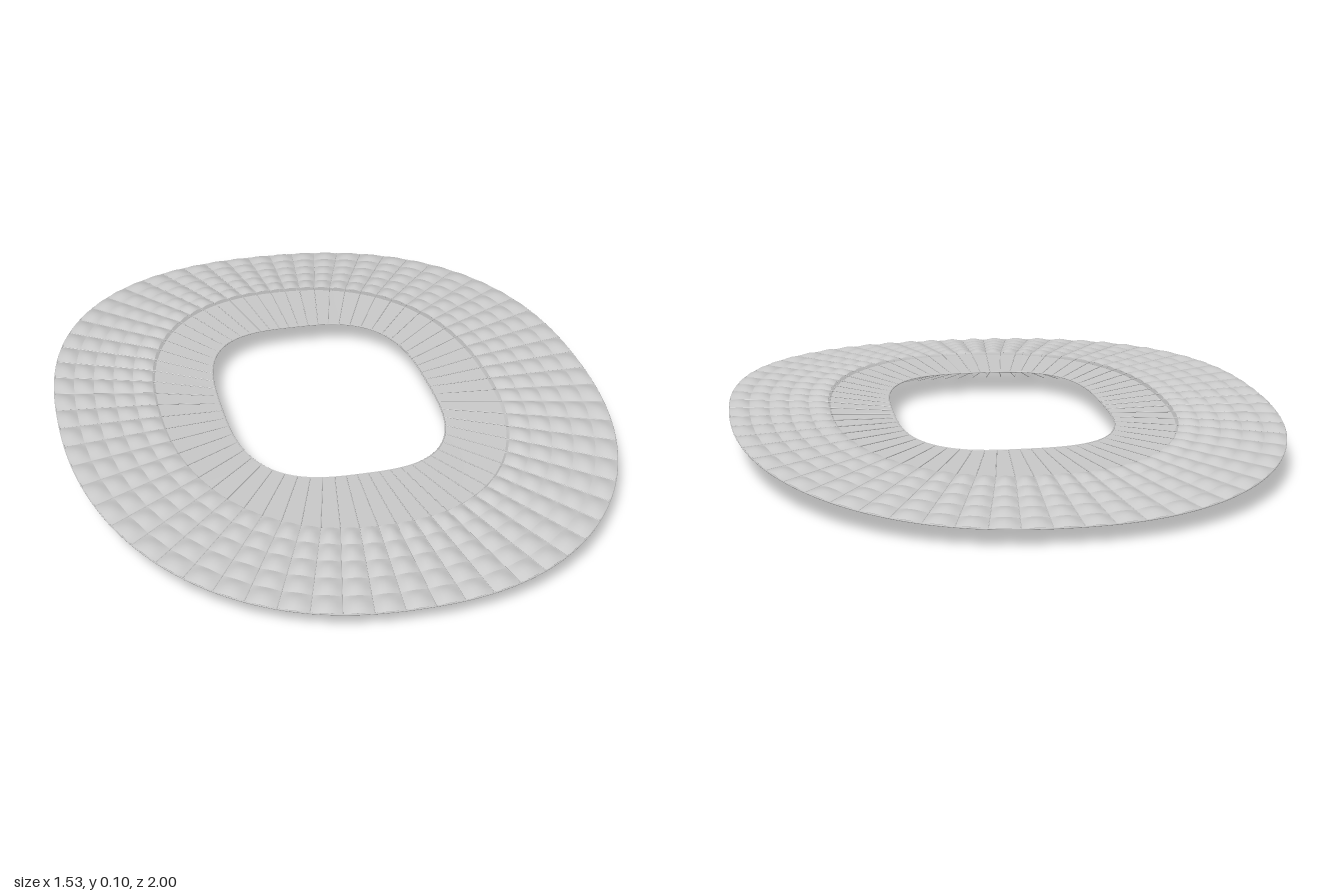
import * as THREE from 'three';
import { mergeGeometries } from 'three/addons/utils/BufferGeometryUtils.js';

const SECTORS = 64, ROWS = 5;
const mat = new THREE.MeshStandardMaterial({ color: 0xcccccc, side: THREE.DoubleSide });

// Rounded oval plan curve: half width a, half length b, squareness n
const oval = (a, b, n, height) => (t) => {
  const c = Math.cos(t), s = Math.sin(t);
  const r = Math.pow(Math.abs(c) ** n + Math.abs(s) ** n, -1 / n);
  const x = a * r * c, z = b * r * s;
  return new THREE.Vector3(x, height(x / a, z / b), z);
};
const outer = oval(0.765, 1.0, 2.3, (x, z) => 0.092 - 0.044 * z * z);
const joint = oval(0.485, 0.685, 2.3, (x, z) => 0.084 - 0.008 * z * z);
const jointIn = oval(0.478, 0.677, 2.3, (x, z) => 0.078 - 0.006 * z * z);
const opening = oval(0.305, 0.432, 3, () => 0.072);
const lowRing = oval(0.46, 0.65, 2.3, (x, z) => 0.04 - 0.038 * z * z);

// Smooth patch between two ovals, u around and v inwards, with an optional bulge
function patch(from, to, t0, t1, v0, v1, nu, nv, bulge = 0) {
  const pos = [], idx = [];
  for (let j = 0; j <= nv; j++) {
    for (let i = 0; i <= nu; i++) {
      const u = i / nu, v = j / nv;
      const t = t0 + (t1 - t0) * u;
      const p = from(t).lerp(to(t), v0 + (v1 - v0) * v);
      // Arched across the bay, tilted up towards the inner edge of each row
      p.y += bulge * Math.sin(Math.PI * u) * (0.35 + 0.65 * Math.sin(Math.PI * v));
      pos.push(p.x, p.y, p.z);
    }
  }
  for (let j = 0; j < nv; j++) {
    for (let i = 0; i < nu; i++) {
      const a = j * (nu + 1) + i, b = a + 1, c = a + nu + 1, d = c + 1;
      idx.push(a, c, b, b, c, d);
    }
  }
  const g = new THREE.BufferGeometry();
  g.setAttribute('position', new THREE.Float32BufferAttribute(pos, 3));
  g.setIndex(idx);
  g.computeVertexNormals();
  return g;
}

// Thin straight cable between two points
function cable(a, b, r) {
  const dir = b.clone().sub(a);
  const g = new THREE.CylinderGeometry(r, r, dir.length(), 5, 1, true);
  g.applyQuaternion(new THREE.Quaternion().setFromUnitVectors(
    new THREE.Vector3(0, 1, 0), dir.clone().normalize()));
  const m = a.clone().add(b).multiplyScalar(0.5);
  return g.translate(m.x, m.y, m.z);
}

// Closed ring cable following an oval
function ringCable(curve, r) {
  const pts = Array.from({ length: 96 }, (_, i) => curve(i / 96 * Math.PI * 2));
  return new THREE.TubeGeometry(new THREE.CatmullRomCurve3(pts, true), 192, r, 5, true);
}

export function createModel() {
  const group = new THREE.Group();
  const add = (name, parts) => {
    const mesh = new THREE.Mesh(mergeGeometries(parts), mat);
    mesh.name = name;
    group.add(mesh);
  };
  const pillows = [], upper = [], lower = [];
  const step = Math.PI * 2 / SECTORS;

  for (let k = 0; k < SECTORS; k++) {
    const t0 = (k + 0.5) * step, t1 = t0 + step;
    // Cushioned outer roof bays
    for (let r = 0; r < ROWS; r++) {
      pillows.push(patch(outer, joint, t0, t1, r / ROWS, (r + 1) / ROWS, 6, 5, 0.01));
    }
    // Radial cables just under the roof, and the lower cables that dip and return
    const o = outer(t0), j = joint(t0), i = opening(t0), l = lowRing(t0);
    upper.push(cable(o, j, 0.0015), cable(j, i, 0.0015));
    lower.push(cable(o, l, 0.001), cable(l, i, 0.001));
  }

  add('outerRoofCushions', pillows);
  add('innerRoofMembrane', [patch(jointIn, opening, 0, Math.PI * 2, 0, 1, 192, 4)]);
  add('upperRadialCables', upper);
  add('lowerRadialCables', lower);
  add('outerCompressionRing', [ringCable(outer, 0.002)]);
  add('innerTensionRing', [ringCable(opening, 0.002)]);
  return group;
}
